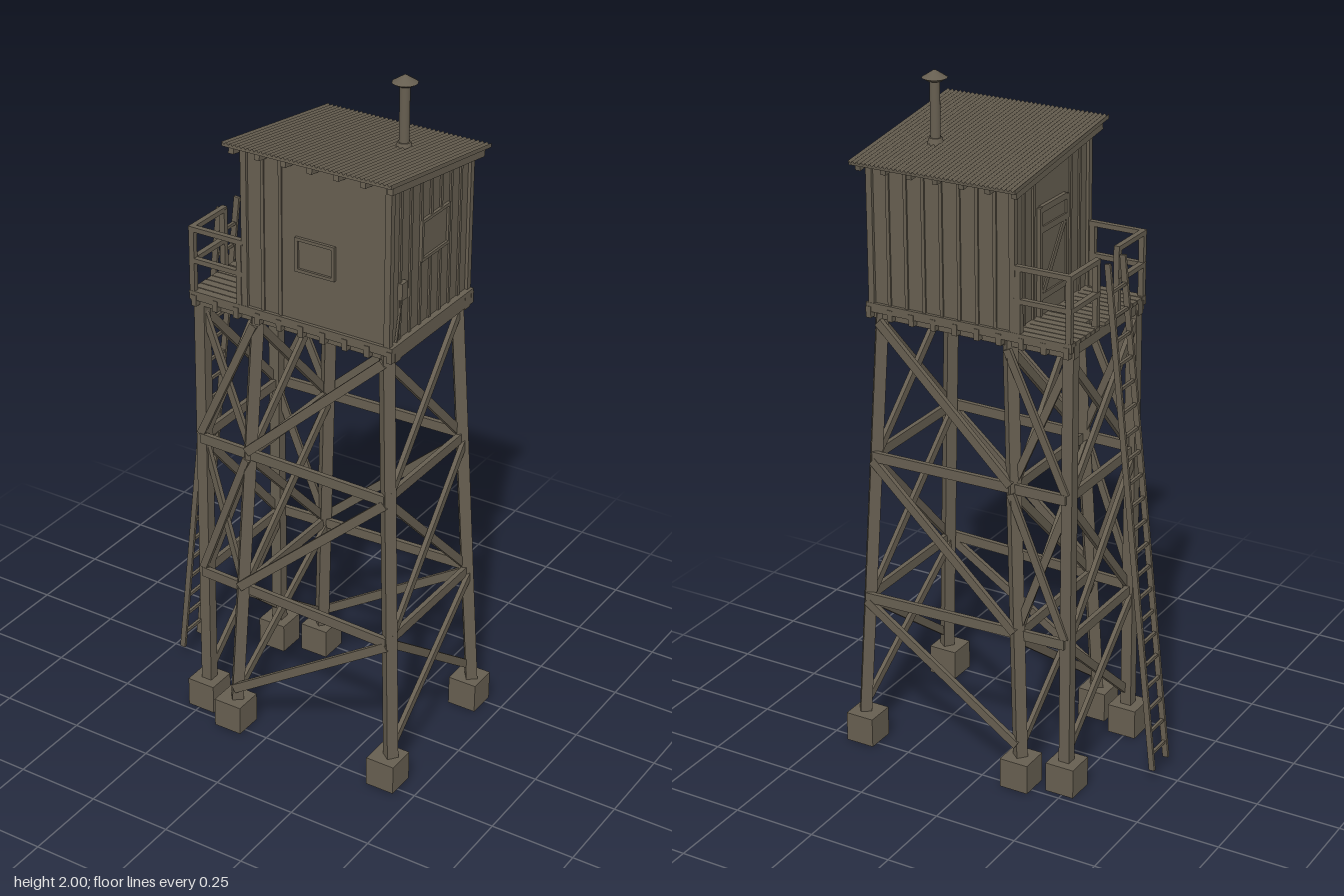
import * as THREE from 'three';

export function createModel() {
  const model = new THREE.Group();
  model.name = 'watchtower';
  const wood = new THREE.MeshStandardMaterial({ name: 'weathered wood', color: 0x665e50 });
  const V = (x, y, z) => new THREE.Vector3(x, y, z);

  const group = (name, parent = model) => {
    const g = new THREE.Group();
    g.name = name;
    parent.add(g);
    return g;
  };
  const add = (parent, name, geo) => {
    const m = new THREE.Mesh(geo, wood);
    m.name = name;
    parent.add(m);
    return m;
  };
  // box given by its minimum and maximum on each axis
  const box = (parent, name, x0, x1, y0, y1, z0, z1) => {
    const m = add(parent, name, new THREE.BoxGeometry(x1 - x0, y1 - y0, z1 - z0));
    m.position.set((x0 + x1) / 2, (y0 + y1) / 2, (z0 + z1) / 2);
    return m;
  };
  // square timber running between two points
  const beam = (parent, name, a, b, w, d = w) => {
    const m = add(parent, name, new THREE.BoxGeometry(w, d, a.distanceTo(b)));
    m.position.copy(a).add(b).multiplyScalar(0.5);
    m.lookAt(b);
    return m;
  };

  // legs: position at a given height, main legs lean inwards
  const t = y => y / 1.34;
  const legs = {
    porch: (y, s) => V(-0.241, y, s * (0.188 - 0.008 * t(y))),
    left: (y, s) => V(-0.118 + 0.06 * t(y), y, s * (0.232 - 0.05 * t(y))),
    right: (y, s) => V(0.412 - 0.066 * t(y), y, s * (0.232 - 0.05 * t(y))),
  };
  const footX = { porch: -0.242, left: -0.118, right: 0.4 };
  const frame = group('frame');
  for (const key of Object.keys(legs)) for (const s of [-1, 1]) {
    const f = legs[key](0, s);
    box(frame, 'footing', footX[key] - 0.044, footX[key] + 0.044, 0, 0.09, f.z - 0.044, f.z + 0.044);
    beam(frame, 'leg', legs[key](0.05, s), legs[key](1.335, s), 0.033);
  }

  // girts and diagonal braces
  const girts = [0.467, 0.908];
  const tiers = [[0.13, 0.455], [0.48, 0.895], [0.92, 1.31]];
  const out = (p, s) => p.add(V(0, 0, s * 0.018));
  for (const s of [-1, 1]) {
    for (const y of girts) beam(frame, 'girt', out(legs.porch(y, s), s), out(legs.right(y, s), s), 0.014, 0.03);
    tiers.forEach(([a, b], i) => {
      beam(frame, 'brace', out(legs.left(a, s), s), out(legs.right(b, s), s), 0.014, 0.026);
      if (i === 0) return;
      beam(frame, 'brace', out(legs.porch(a, s), s), out(legs.left(b, s), s), 0.012, 0.022);
      beam(frame, 'brace', legs.porch(b, s), legs.left(a, s), 0.012, 0.022);
    });
  }
  for (const key of Object.keys(legs)) {
    for (const y of girts) beam(frame, 'girt', legs[key](y, -1), legs[key](y, 1), 0.014, 0.03);
    for (const [a, b] of tiers) for (const s of [-1, 1]) {
      const shift = V(s * 0.008, 0, 0);
      beam(frame, 'brace', legs[key](a, s).add(shift), legs[key](b, -s).add(shift), 0.013, 0.024);
    }
  }

  // platform: bearers, joists, floor and spaced porch planks
  const deck = group('platform');
  for (const s of [-1, 1]) {
    box(deck, 'bearer', -0.26, 0.38, 1.318, 1.356, s * 0.182 - 0.014, s * 0.182 + 0.014);
    box(deck, 'edgeBoard', -0.26, 0.38, 1.34, 1.364, s * 0.207 - 0.006, s * 0.207 + 0.006);
  }
  for (let i = 0; i < 10; i++) {
    const x = -0.245 + i * 0.0685;
    box(deck, 'joist', x - 0.008, x + 0.008, 1.322, 1.355, -0.215, 0.215);
  }
  box(deck, 'cabinFloor', -0.09, 0.38, 1.355, 1.366, -0.213, 0.213);
  const planks = 16, pitch = 0.43 / planks;
  for (let i = 0; i < planks; i++) {
    const z = -0.215 + i * pitch;
    box(deck, 'porchPlank', i === 6 ? -0.215 : -0.26, -0.085, 1.355, 1.366, z + 0.0015, z + pitch - 0.0015);
  }

  // railing, open in the middle for the ladder
  const rail = group('railing');
  for (const s of [-1, 1]) {
    for (const [x, z] of [[-0.25, 0.205], [-0.25, 0.06], [-0.098, 0.205]])
      box(rail, 'post', x - 0.008, x + 0.008, 1.36, 1.55, s * z - 0.008, s * z + 0.008);
    for (const y of [1.458, 1.55]) {
      box(rail, 'sideRail', -0.258, -0.085, y - 0.008, y + 0.006, s * 0.205 - 0.008, s * 0.205 + 0.008);
      box(rail, 'endRail', -0.259, -0.243, y - 0.008, y + 0.006, s * 0.132 - 0.08, s * 0.132 + 0.08);
    }
  }

  // ladder
  const ladder = group('ladder');
  const onLadder = (y, z) => V(-0.44 + 0.165 * (y - 0.04) / 1.5, y, z);
  for (const s of [-1, 1]) beam(ladder, 'stringer', onLadder(0.04, s * 0.043), onLadder(1.54, s * 0.043), 0.009, 0.017);
  for (let i = 0; i < 21; i++) {
    const y = 0.09 + i * 0.0685;
    beam(ladder, 'rung', onLadder(y, -0.043), onLadder(y, 0.043), 0.009);
  }

  // cabin walls under the sloping roof
  const cabin = group('cabin');
  const roofY = z => 1.808 + 0.137 * z;
  const X0 = -0.08, X1 = 0.362, Z = 0.203, Y0 = 1.362;
  const side = new THREE.Shape([[-Z, Y0], [Z, Y0], [Z, roofY(Z) - 0.012], [-Z, roofY(-Z) - 0.012]].map(p => new THREE.Vector2(...p)));
  const walls = new THREE.ExtrudeGeometry(side, { depth: X1 - X0, bevelEnabled: false });
  walls.rotateY(-Math.PI / 2).translate(X1, 0, 0);
  add(cabin, 'walls', walls);

  // corner boards and battens
  for (const x of [X0, X1]) for (const s of [-1, 1])
    box(cabin, 'cornerBoard', x - 0.009, x + 0.009, Y0, roofY(s * Z) - 0.014, s * Z - 0.009, s * Z + 0.009);
  for (let i = 1; i < 8; i++) {
    const x = X0 + (X1 - X0) * i / 8;
    box(cabin, 'batten', x - 0.005, x + 0.005, Y0, roofY(-Z) - 0.014, -Z - 0.005, -Z);
    if (i < 3) box(cabin, 'batten', x - 0.005, x + 0.005, Y0, roofY(Z) - 0.014, Z, Z + 0.004);
    const z = -Z + 2 * Z * i / 8;
    const top = roofY(z) - 0.014;
    if (Math.abs(z) > 0.08) box(cabin, 'batten', X0 - 0.005, X0, Y0, top, z - 0.005, z + 0.005);
    const behindWindow = z < 0.055 && z > -0.095;
    for (const [a, b] of behindWindow ? [[Y0, 1.55], [1.665, top]] : [[Y0, top]])
      box(cabin, 'batten', X1, X1 + 0.005, a, b, z - 0.005, z + 0.005);
  }

  // framed windows, built facing +z and turned into place
  const windowUnit = (w, h) => {
    const g = group('window', cabin), f = 0.009;
    box(g, 'pane', -w / 2, w / 2, -h / 2, h / 2, 0, 0.002);
    for (const s of [-1, 1]) {
      box(g, 'jamb', s * (w - f) / 2 - f / 2, s * (w - f) / 2 + f / 2, -h / 2, h / 2, 0, 0.009);
      box(g, 'rail', -w / 2 + f, w / 2 - f, s * (h - f) / 2 - f / 2, s * (h - f) / 2 + f / 2, 0, 0.009);
    }
    return g;
  };
  windowUnit(0.122, 0.098).position.set(0.14, 1.56, Z);
  const sideWindow = windowUnit(0.145, 0.118);
  sideWindow.position.set(X1, 1.607, -0.018);
  sideWindow.rotation.y = Math.PI / 2;

  // door on the porch side
  const door = group('door', cabin);
  box(door, 'leaf', X0 - 0.006, X0, Y0, 1.665, -0.07, 0.07);
  for (const s of [-1, 1]) box(door, 'doorPost', X0 - 0.011, X0, Y0, 1.672, s * 0.072 - 0.007, s * 0.072 + 0.007);
  for (const y of [1.42, 1.61, 1.667]) box(door, 'ledge', X0 - 0.011, X0, y - 0.009, y + 0.009, -0.068, 0.068);
  beam(door, 'doorBrace', V(X0 - 0.007, 1.43, -0.058), V(X0 - 0.007, 1.6, 0.058), 0.007, 0.016);

  // meter box and its conduit
  box(cabin, 'meterBox', X1, X1 + 0.014, 1.482, 1.53, 0.132, 0.16);
  beam(cabin, 'conduit', V(X1 + 0.005, 1.485, 0.148), V(X1 + 0.005, 1.365, 0.172), 0.006);

  // corrugated roof sheet on rafters
  const roof = group('roof');
  const tilt = -Math.atan(0.137);
  const RX0 = -0.115, RX1 = 0.395, waves = 38, steps = waves * 6;
  const sheet = new THREE.Shape();
  sheet.moveTo(RX0, -0.007);
  sheet.lineTo(RX1, -0.007);
  for (let i = steps; i >= 0; i--)
    sheet.lineTo(RX0 + (RX1 - RX0) * i / steps, 0.002 + 0.003 * Math.cos(i / 6 * Math.PI * 2));
  const sheetMesh = add(roof, 'corrugatedSheet', new THREE.ExtrudeGeometry(sheet, { depth: 0.516, bevelEnabled: false }).translate(0, 0, -0.258));
  sheetMesh.position.y = 1.808;
  sheetMesh.rotation.x = tilt;
  for (let i = 0; i < 7; i++) {
    const x = -0.1 + i * 0.08;
    beam(roof, 'rafter', V(x, roofY(-0.235) - 0.018, -0.235), V(x, roofY(0.235) - 0.018, 0.235), 0.016, 0.024);
  }

  // stove pipe with a conical cap
  const pipe = group('stovePipe');
  const round = (name, r0, r1, y0, y1) => {
    add(pipe, name, new THREE.CylinderGeometry(r1, r0, y1 - y0, 20)).position.set(0.24, (y0 + y1) / 2, -0.065);
  };
  round('flange', 0.024, 0.018, 1.795, 1.815);
  round('flue', 0.014, 0.014, 1.78, 1.98);
  round('capRim', 0.022, 0.034, 1.972, 1.98);
  round('cap', 0.035, 0.004, 1.98, 2.0);

  return model;
}
